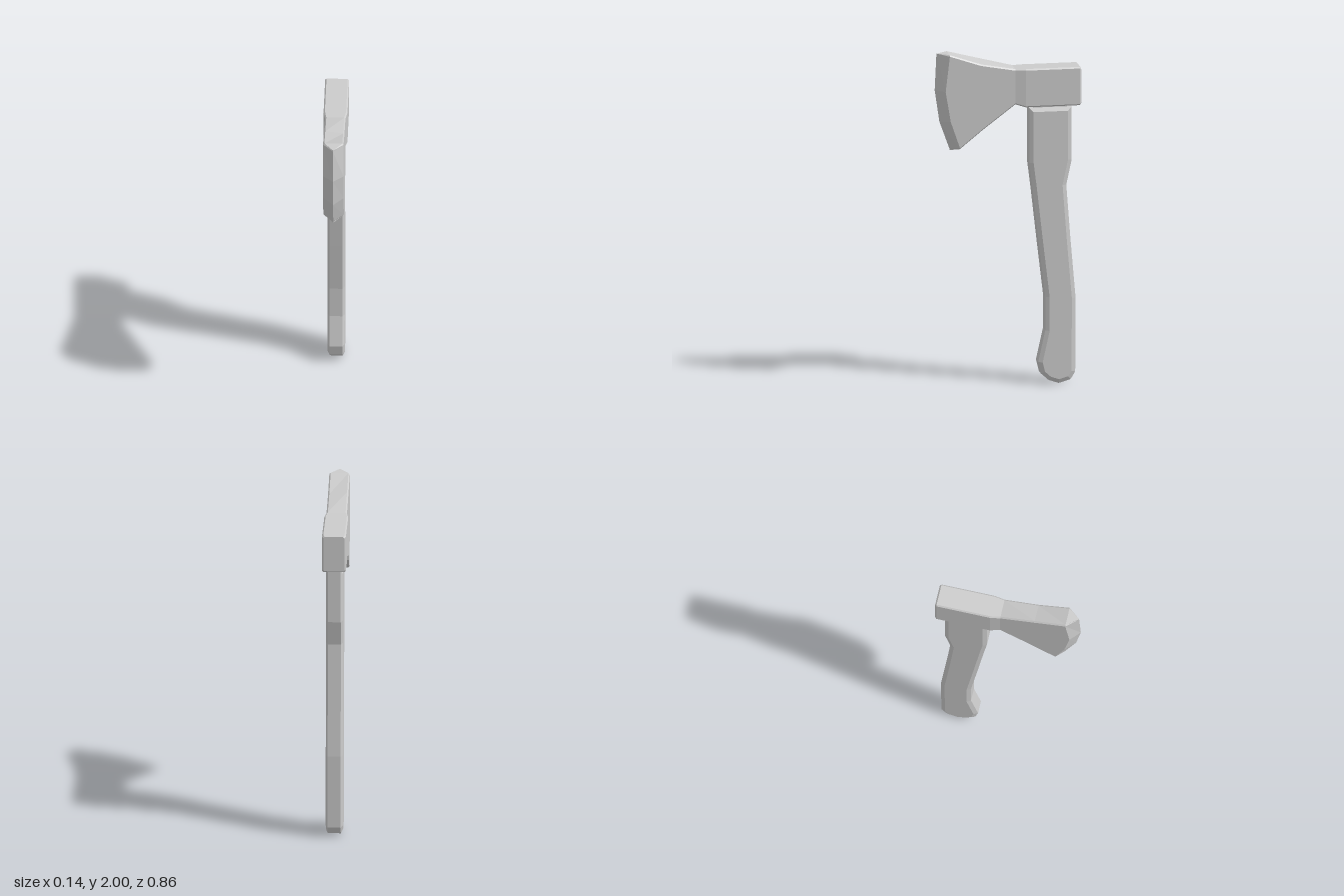
import * as THREE from 'three';

const material = new THREE.MeshStandardMaterial({ color: 0xcccccc, flatShading: true, side: THREE.DoubleSide });

// Handle: side outline (z, y) extruded across the width with chamfered edges
function makeHandle() {
  const outline = [
    [-0.125, 1.66], [-0.125, 1.33], [-0.145, 1.17], [-0.18, 0.86], [-0.22, 0.52], [-0.22, 0.32],
    [-0.178, 0.13], [-0.195, 0.06], [-0.24, 0.02], [-0.3, 0], [-0.37, 0.02], [-0.398, 0.065],
    [-0.4, 0.51], [-0.37, 0.86], [-0.345, 1.19], [-0.377, 1.34], [-0.377, 1.66],
  ].map(([z, y]) => new THREE.Vector2(z, y));
  const bevel = 0.012, inset = 0.024, width = 0.1;
  const geometry = new THREE.ExtrudeGeometry(new THREE.Shape(outline), {
    depth: width - 2 * bevel, bevelEnabled: true, bevelSegments: 1,
    bevelThickness: bevel, bevelSize: inset, bevelOffset: -inset,
  });
  geometry.translate(0, 0, bevel - width / 2).rotateY(-Math.PI / 2);
  const mesh = new THREE.Mesh(geometry, material);
  mesh.name = 'handle';
  return mesh;
}

// One chamfered ring of the head: half width and four (z, y) points, bottom to top
function ring({ w, pts, dip = 0 }) {
  const c = 0.008, [b, lo, hi, t] = pts;
  const side = [
    [Math.max(0, w - c), b[1], b[0]], [w, b[1] + c, b[0]], [w, lo[1], lo[0]],
    [w, hi[1], hi[0]], [w, t[1] - c, t[0]], [Math.max(0, w - c), t[1], t[0]],
  ];
  const left = side.map(([x, y, z], i) => [x, i > 3 ? y - dip : y, z]);
  const right = side.map(([x, y, z]) => [-x, y, z]).reverse();
  return [...left, ...right];
}

// Head: rings lofted from the poll to the cutting edge
function makeHead() {
  const flat = (z, w, bottom, top) => ({ w, pts: [[z, bottom], [z, 1.74], [z, 1.83], [z, top]] });
  const rings = [
    flat(-0.43, 0.062, 1.678, 1.892),
    flat(-0.421, 0.07, 1.67, 1.9),
    flat(-0.1, 0.07, 1.67, 1.9),
    flat(-0.04, 0.06, 1.688, 1.9),
    { w: 0.06, dip: 0.015, pts: [[0.15, 1.545], [0.17, 1.66], [0.17, 1.8], [0.165, 1.952]] },
    { w: 0.06, pts: [[0.29, 1.432], [0.345, 1.6], [0.375, 1.78], [0.35, 2]] },
    { w: 0, pts: [[0.342, 1.417], [0.402, 1.59], [0.43, 1.78], [0.42, 2]] },
  ].map(ring);

  const n = rings[0].length, index = [];
  for (let s = 0; s < rings.length - 1; s++) {
    for (let i = 0; i < n; i++) {
      const j = (i + 1) % n, a = s * n + i, b = s * n + j;
      index.push(a, b, b + n, a, b + n, a + n);
    }
  }
  // Flat back of the poll
  for (let i = 1; i < n - 1; i++) index.push(0, i + 1, i);

  const geometry = new THREE.BufferGeometry();
  geometry.setAttribute('position', new THREE.Float32BufferAttribute(rings.flat(2), 3));
  geometry.setIndex(index);
  const faceted = geometry.toNonIndexed();
  faceted.computeVertexNormals();
  const mesh = new THREE.Mesh(faceted, material);
  mesh.name = 'axeHead';
  return mesh;
}

// Narrow tenon joining the handle to the head
function makeTenon() {
  const mesh = new THREE.Mesh(new THREE.BoxGeometry(0.07, 0.06, 0.2), material);
  mesh.position.set(0, 1.66, -0.25);
  mesh.name = 'tenon';
  return mesh;
}

export function createModel() {
  const axe = new THREE.Group();
  axe.name = 'axe';
  axe.add(makeHandle(), makeTenon(), makeHead());
  return axe;
}
